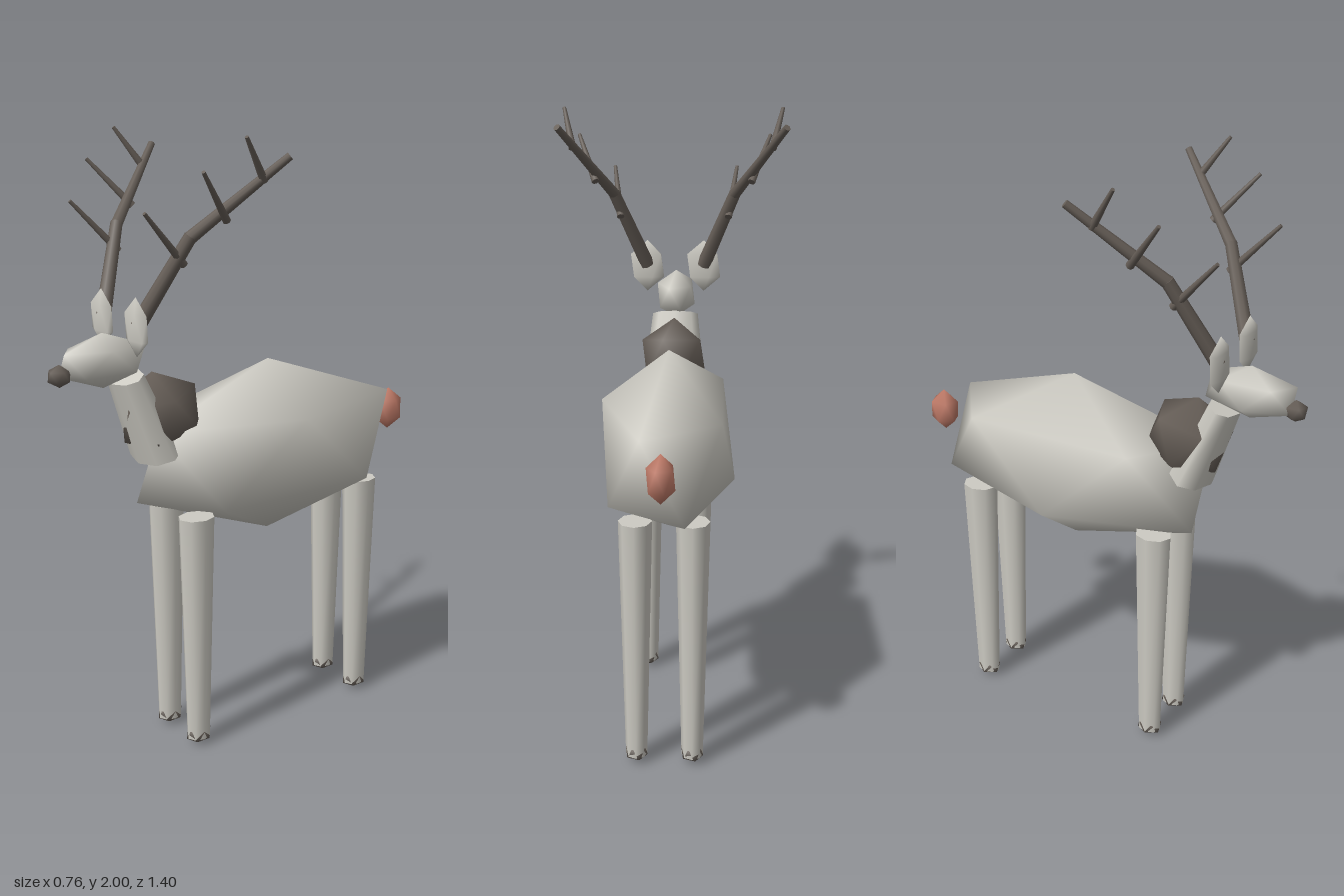
import * as THREE from 'three';
import { mergeVertices } from 'three/addons/utils/BufferGeometryUtils.js';
import { ConvexGeometry } from 'three/addons/geometries/ConvexGeometry.js';

const flatColour = (name, color) => {
  const m = new THREE.MeshStandardMaterial({ color });
  m.name = name;
  return m;
};

// Twelve-point ball with poles on y: two staggered rings of five, smooth shaded
function makeBall() {
  const points = [new THREE.Vector3(0, 1, 0), new THREE.Vector3(0, -1, 0)];
  for (let i = 0; i < 5; i++) {
    const a = (i * Math.PI * 2) / 5;
    const x = 0.8944 * Math.cos(a), z = 0.8944 * Math.sin(a);
    points.push(new THREE.Vector3(x, 0.4472, z), new THREE.Vector3(-x, -0.4472, -z));
  }
  let g = new ConvexGeometry(points);
  g.deleteAttribute('normal');
  g = mergeVertices(g);
  g.computeVertexNormals();
  return g;
}

export function createModel() {
  const model = new THREE.Group();
  model.name = 'deer';
  const fur = flatColour('pale fur', 0xcdcbc3);
  const dark = flatColour('dark brown', 0x665e57);
  const pink = flatColour('tail pink', 0xc27c69);
  const ball = makeBall();

  const addBall = (name, material, position, radii, tilt = 0) => {
    const m = new THREE.Mesh(ball.clone().scale(...radii), material);
    m.name = name;
    m.position.set(...position);
    m.rotation.x = tilt;
    model.add(m);
    return m;
  };

  // Tapered rod from a to b
  const addRod = (name, parent, material, a, b, ra, rb, sides = 8) => {
    const start = new THREE.Vector3(...a), end = new THREE.Vector3(...b);
    const dir = end.clone().sub(start);
    const m = new THREE.Mesh(new THREE.CylinderGeometry(rb, ra, dir.length(), sides), material);
    m.name = name;
    m.position.copy(start).add(end).multiplyScalar(0.5);
    m.quaternion.setFromUnitVectors(new THREE.Vector3(0, 1, 0), dir.normalize());
    parent.add(m);
    return m;
  };

  // Trunk, head and tail
  addBall('body', fur, [0, 0.965, -0.105], [0.24, 0.295, 0.56]);
  addBall('head', fur, [0, 1.335, 0.52], [0.075, 0.085, 0.165]);
  addBall('nose', dark, [0, 1.307, 0.668], [0.037, 0.035, 0.039]);
  addBall('tail', pink, [0, 1.005, -0.648], [0.047, 0.075, 0.057]);

  // Flattened neck with a dark ruff around it
  const neck = addRod('neck', model, fur, [0, 1.015, 0.338], [0, 1.275, 0.443], 0.112, 0.08);
  neck.scale.z = 0.62;
  addBall('ruff', dark, [0, 1.14, 0.32], [0.125, 0.14, 0.147], 0.2);

  // Legs and hooves
  for (const z of [0.245, -0.44]) {
    for (const x of [0.088, -0.088]) {
      const end = z > 0 ? 'front' : 'back';
      const leg = addRod(end + 'Leg', model, fur, [x, 0.025, z], [x, 0.805, z], 0.034, 0.052);
      leg.scale.z = 1.2;
      addBall(end + 'Hoof', dark, [x, 0.036, z], [0.039, 0.036, 0.047]);
    }
  }

  // Ears and antlers
  const tines = [
    [[0.185, 1.63, 0.345], [0.214, 1.79, 0.495]],
    [[0.26, 1.757, 0.245], [0.325, 1.905, 0.37]],
    [[0.325, 1.87, 0.16], [0.36, 1.997, 0.248]],
  ];
  for (const s of [1, -1]) {
    addBall('ear', fur, [s * 0.1, 1.445, 0.46], [0.066, 0.09, 0.02]);
    const antler = new THREE.Group();
    antler.name = s > 0 ? 'leftAntler' : 'rightAntler';
    model.add(antler);
    const side = ([x, y, z]) => [s * x, y, z];
    const rod = (name, a, b, ra, rb) => addRod(name, antler, dark, side(a), side(b), ra, rb);
    rod('lowerBeam', [0.1, 1.45, 0.455], [0.208, 1.715, 0.335], 0.025, 0.02);
    rod('upperBeam', [0.205, 1.708, 0.338], [0.368, 1.94, 0.1], 0.02, 0.012);
    for (const [a, b] of tines) rod('tine', a, b, 0.013, 0.006);
  }
  return model;
}
